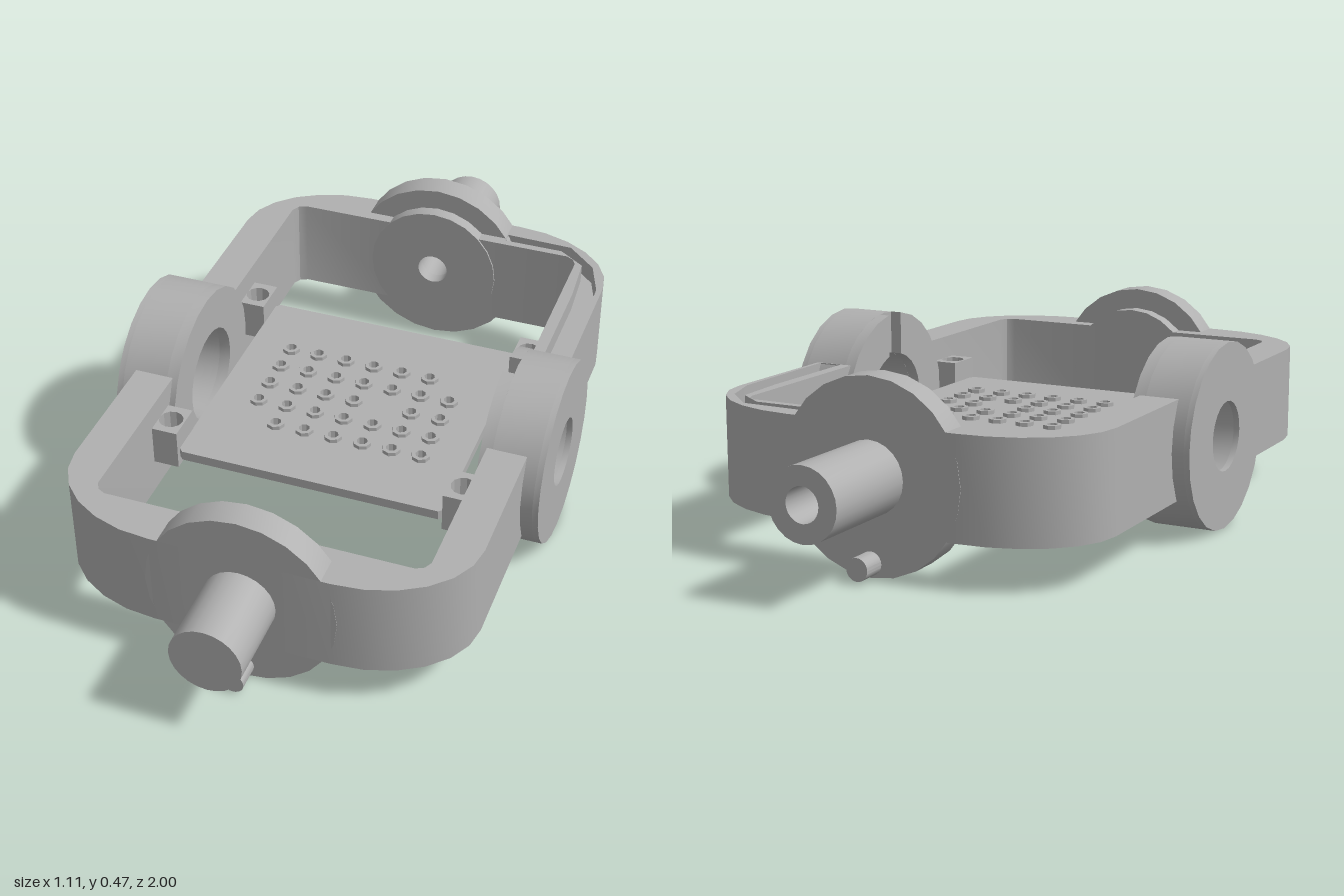
import * as THREE from 'three';
import { toCreasedNormals } from 'three/addons/utils/BufferGeometryUtils.js';

const CY = 0.24;   // height of all axes
const CZ = 0.035;  // z of the side hubs

export function createModel() {
  const root = new THREE.Group();
  root.name = 'gimbalFrame';
  const grey = new THREE.MeshStandardMaterial({ color: 0xb0b0b0 });
  grey.name = 'grey';

  const add = (name, geo, parent = root) => {
    const mesh = new THREE.Mesh(geo, grey);
    mesh.name = name;
    parent.add(mesh);
    return mesh;
  };
  const circle = (r, x = 0, y = 0) => new THREE.Path().absarc(x, y, r, 0, Math.PI * 2, false);
  const disc = (r, hole = 0) => {
    const s = new THREE.Shape().absarc(0, 0, r, 0, Math.PI * 2, false);
    if (hole) s.holes.push(circle(hole));
    return s;
  };
  const extrude = (shape, depth, seg = 12) => toCreasedNormals(
    new THREE.ExtrudeGeometry(shape, { depth, bevelEnabled: false, curveSegments: seg }), 0.5);
  // outline drawn in x and z, standing between two heights
  const slab = (shape, y0, y1, seg) => extrude(shape, y1 - y0, seg).rotateX(Math.PI / 2).translate(0, y1, 0);
  // round part along z
  const round = (name, r, z0, z1, hole = 0, y = CY) =>
    add(name, extrude(disc(r, hole), z1 - z0).translate(0, y, z0));

  // one L-shaped quarter of the rounded frame
  const quarter = (sx, sz, zOut, zIn, zMid) => {
    const pts = [[0.1, zIn], [0.1, zOut]];
    for (let i = 0; i <= 6; i++) {
      const a = Math.PI / 2 * (1 - i / 6);
      pts.push([0.22 + 0.29 * Math.cos(a), zMid + (zOut - zMid) * Math.sin(a)]);
    }
    const end = 0.17 + sz * CZ;
    pts.push([0.51, end], [0.41, end], [0.41, zIn - 0.03], [0.4, zIn - 0.01], [0.38, zIn]);
    return new THREE.Shape(pts.map(([x, z]) => new THREE.Vector2(x * sx, z * sz)));
  };
  for (const sx of [-1, 1]) {
    add('frontFrame', slab(quarter(sx, 1, 0.8, 0.69, 0.58), 0.115, 0.365));
    const back = () => quarter(sx, -1, 0.73, 0.63, 0.51);
    if (sx < 0) add('backFrame', slab(back(), 0.115, 0.365));
    else {
      // the left rear arm carries a cable groove in its top
      add('backFrame', slab(back(), 0.115, 0.315));
      const top = back();
      top.holes.push(new THREE.Path([[0.5, -0.165], [0.495, -0.5], [0.46, -0.6], [0.38, -0.675],
        [0.2, -0.68], [0.2, -0.65], [0.36, -0.65], [0.43, -0.6], [0.44, -0.46], [0.44, -0.165]]
        .map(([x, z]) => new THREE.Vector2(x, z))));
      add('grooveRim', slab(top, 0.315, 0.365));
    }
  }

  // end discs, shafts and stop pins
  round('frontDisc', 0.235, 0.73, 0.8);
  round('frontInnerDisc', 0.18, 0.69, 0.73);
  round('frontShaft', 0.088, 0.8, 1);
  round('frontPin', 0.028, 0.8, 0.865, 0, 0.04);
  round('backDisc', 0.235, -0.73, -0.66, 0.042);
  round('backInnerDisc', 0.18, -0.66, -0.625, 0.042);
  round('backShaft', 0.088, -1, -0.73, 0.042);
  round('backPin', 0.028, -0.79, -0.73, 0, 0.04);

  // side hubs with a bearing pocket open to the inside
  for (const sx of [-1, 1]) {
    const hub = new THREE.Group();
    hub.name = sx > 0 ? 'leftHub' : 'rightHub';
    hub.position.set(0, CY, CZ);
    hub.rotation.y = sx * Math.PI / 2;
    root.add(hub);
    let inner = disc(0.235, 0.125);
    if (sx > 0) {
      // cable notch at the top of the inner face
      const a = 0.13, b = 0.24, h = Math.PI / 2;
      inner = new THREE.Shape();
      inner.absarc(0, 0, 0.235, h + a, h - a + Math.PI * 2, false);
      inner.absarc(0, 0, 0.125, h - b + Math.PI * 2, h + b, true);
    }
    add('hubInnerRing', extrude(inner, 0.03).translate(0, 0, 0.395), hub);
    add('hubRing', extrude(disc(0.235, 0.125), 0.115).translate(0, 0, 0.425), hub);
    add('hubFlange', extrude(disc(0.235, 0.088), 0.015).translate(0, 0, 0.54), hub);
    add('pocketFloor', new THREE.CircleGeometry(0.09, 24).rotateY(Math.PI).translate(0, 0, 0.541), hub);
  }

  // perforated plate with a small collar round every hole
  const X = 0.345, Z0 = -0.305, Z1 = 0.365, C = 0.012;
  const plate = new THREE.Shape([[-X + C, Z0], [X - C, Z0], [X, Z0 + C], [X, Z1 - C], [X - C, Z1],
    [-X + C, Z1], [-X, Z1 - C], [-X, Z0 + C]].map(([x, z]) => new THREE.Vector2(x, z)));
  const missing = ['0,6', '2,4', '4,0'];
  for (let row = 0; row < 5; row++) {
    for (let col = 0; col < 7; col++) {
      if (missing.includes(row + ',' + col)) continue;
      const x = (col - 3) * 0.077, z = -0.122 + row * 0.077;
      plate.holes.push(circle(0.014, x, z));
      add('holeCollar', slab(disc(0.024, 0.014), 0.215, 0.26, 4).translate(x, 0, z));
    }
  }
  add('plate', slab(plate, 0.225, 0.25, 4));

  // corner clips joining plate and frame
  for (const x of [-0.38, 0.38]) {
    for (const z of [-0.258, 0.318]) {
      const clip = new THREE.Shape([[-0.036, -0.05], [0.036, -0.05], [0.036, 0.05], [-0.036, 0.05]]
        .map(([a, b]) => new THREE.Vector2(a, b)));
      clip.holes.push(circle(0.031));
      add('cornerClip', slab(clip, 0.2, 0.305, 6).translate(x, 0, z));
    }
  }
  return root;
}
